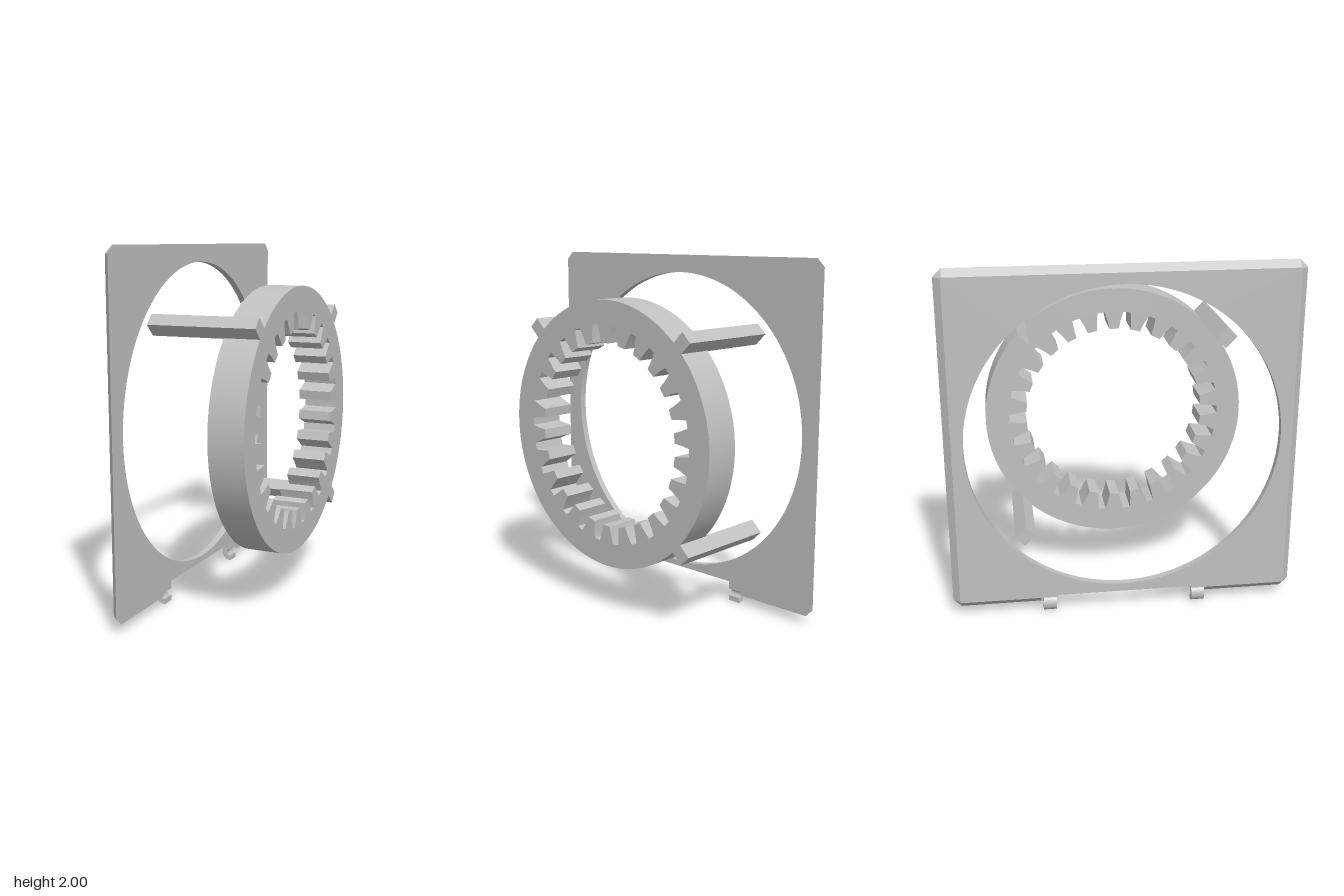
import * as THREE from 'three';
import { toCreasedNormals } from 'three/addons/utils/BufferGeometryUtils.js';

const CY = 1.025;          // height of the common axis
const FRONT = 0.335;       // outer face of the gear ring
const PLATE_X = -0.285;    // face of the plate turned to the ring
const THICK = 0.04;
const v2 = (x, y) => new THREE.Vector2(x, y);

// Extrudes a shape along +x; shape x becomes -z
function extrudeX(shape, depth, x, segments = 64) {
  const g = new THREE.ExtrudeGeometry(shape, { depth, bevelEnabled: false, curveSegments: segments });
  g.rotateY(Math.PI / 2);
  g.translate(x, 0, 0);
  return g;
}

// Square plate with round opening, clipped corners, bottom notch, and bevelled rim
function plateGeometry() {
  const half = [[0.39, 0.115], [0.39, 0.075], [0.48, 0.075], [0.48, 0.05],
    [0.935, 0.05], [0.98, 0.095], [0.98, 1.955], [0.935, 2]];
  const mirrored = half.map(([x, y]) => [-x, y]).reverse();
  const shape = new THREE.Shape([...half, ...mirrored].map(([x, y]) => v2(x, y)));
  const hole = new THREE.Path();
  hole.absarc(0, CY, 0.875, 0, Math.PI * 2, true);
  shape.holes.push(hole);
  const g = extrudeX(shape, THICK, PLATE_X - THICK);
  const p = g.attributes.position;
  for (let i = 0; i < p.count; i++) {
    if (p.getX(i) > PLATE_X - THICK / 2) continue;
    let y = THREE.MathUtils.clamp(p.getY(i), 0.09, 1.96);
    if (y > 0.1 && y < 0.12) y = 0.102;
    p.setY(i, y);
    p.setZ(i, THREE.MathUtils.clamp(p.getZ(i), -0.94, 0.94));
  }
  return toCreasedNormals(g, 0.4);
}

// Ring with inward teeth
function gearGeometry() {
  const teeth = 26, rootR = 0.615, tipR = 0.516;
  const shape = new THREE.Shape();
  shape.absarc(0, CY, 0.75, 0, Math.PI * 2, false);
  const profile = [[-0.068, tipR], [-0.054, 0.565], [-0.034, rootR],
    [0.034, rootR], [0.054, 0.565], [0.068, tipR]];
  const points = [];
  for (let i = 0; i < teeth; i++) {
    for (const [da, r] of profile) {
      const a = (i / teeth) * Math.PI * 2 + da;
      points.push(v2(r * Math.cos(a), CY + r * Math.sin(a)));
    }
  }
  shape.holes.push(new THREE.Path(points));
  return toCreasedNormals(extrudeX(shape, 0.203, FRONT - 0.203), 0.2);
}

// Open C-shaped hinge hook
function hookGeometry() {
  const s = new THREE.Shape();
  s.absarc(-0.29, 0.05, 0.05, Math.PI / 2, Math.PI * 1.5, false);
  s.lineTo(PLATE_X, 0);
  s.lineTo(PLATE_X, 0.03);
  s.absarc(-0.29, 0.05, 0.02, Math.PI * 1.5, Math.PI / 2, true);
  s.lineTo(PLATE_X, 0.07);
  s.lineTo(PLATE_X, 0.1);
  const g = new THREE.ExtrudeGeometry(s, { depth: 0.075, bevelEnabled: false, curveSegments: 8 });
  g.translate(0, 0, -0.0375);
  return g;
}

export function createModel() {
  const group = new THREE.Group();
  const grey = new THREE.MeshStandardMaterial({ color: 0xc0c0c0 });
  grey.name = 'grey';
  const add = (name, geometry) => {
    const mesh = new THREE.Mesh(geometry, grey);
    mesh.name = name;
    group.add(mesh);
    return mesh;
  };

  add('mountingPlate', plateGeometry());
  add('toothedRing', gearGeometry());

  // Three diagonal bars reaching from the ring back to the plate
  const length = FRONT - PLATE_X;
  for (const [name, sy, sz] of [['upperFrontBar', 1, 1], ['upperBackBar', 1, -1], ['lowerBackBar', -1, -1]]) {
    const r = 0.788 * Math.SQRT1_2;
    const bar = add(name, new THREE.BoxGeometry(length, 0.088, 0.075));
    bar.position.set((FRONT + PLATE_X) / 2, CY + sy * r, sz * r);
    bar.rotation.x = sy * sz * Math.PI / 4;
  }

  // Hinge hooks at the foot of the plate
  for (const side of [1, -1]) {
    add(side > 0 ? 'frontHinge' : 'backHinge', hookGeometry()).position.z = side * 0.43;
  }
  return group;
}
